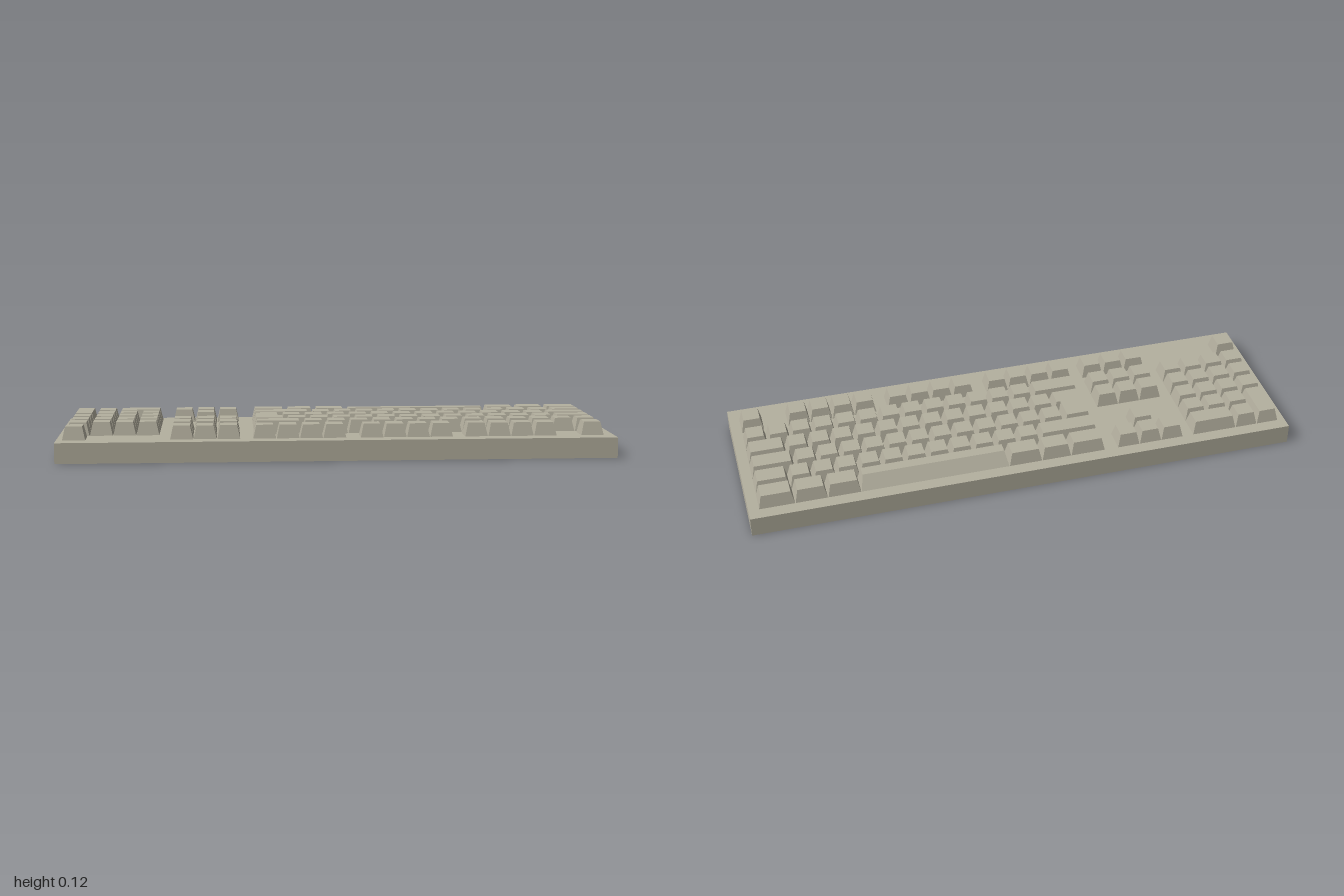
import * as THREE from 'three';

const U = 0.0835;       // key pitch
const GAP = 0.001;      // half gap between keys
const INSET = 0.0107;   // slope of the key sides
const DECK = 0.074, KEY_TOP = 0.122;

// Near edge of each key row along z, from the spacebar row to the function row
const Z = { space: -0.27, shift: -0.187, home: -0.104, tab: -0.02, number: 0.064, fn: 0.171 };

const beige = new THREE.MeshStandardMaterial({ color: 0xb4b09f });
beige.name = 'beige plastic';

// Keycap: the outline is extruded, then its upper corners move to the smaller top outline
function keycap(bottom, top, name) {
  const shape = new THREE.Shape(bottom.map(([x, z]) => new THREE.Vector2(x, -z)));
  const geo = new THREE.ExtrudeGeometry(shape, { depth: KEY_TOP - DECK, bevelEnabled: false });
  const pos = geo.attributes.position;
  for (let i = 0; i < pos.count; i++) {
    if (pos.getZ(i) < 0.001) continue;
    const k = bottom.findIndex(([x, z]) => Math.hypot(x - pos.getX(i), -z - pos.getY(i)) < 1e-4);
    pos.setXY(i, top[k][0], -top[k][1]);
  }
  geo.rotateX(-Math.PI / 2);
  geo.translate(0, DECK, 0);
  geo.computeVertexNormals();
  const mesh = new THREE.Mesh(geo, beige);
  mesh.name = name;
  return mesh;
}

const rect = (x0, z0, x1, z1) => [[x0, z1], [x1, z1], [x1, z0], [x0, z0]];

function boxKey(x, z, w, d, name, backInset = INSET) {
  const x0 = x + GAP, x1 = x + w - GAP, z0 = z + GAP / 2, z1 = z + d - GAP / 2;
  return keycap(rect(x0, z0, x1, z1),
    rect(x0 + INSET, z0 + backInset, x1 - INSET, z1 - INSET), name);
}

// Run of keys from x towards +x
function addRow(group, x, z, widths, name = 'key') {
  for (const w of widths) {
    group.add(boxKey(x, z, w, U, name));
    x += w;
  }
}

const units = (n) => Array(n).fill(U);

function section(parent, name) {
  const g = new THREE.Group();
  g.name = name;
  parent.add(g);
  return g;
}

export function createModel() {
  const model = new THREE.Group();
  model.name = 'keyboard';

  const base = new THREE.Mesh(new THREE.BoxGeometry(2, DECK, 0.63), beige);
  base.name = 'base';
  base.position.y = DECK / 2;
  model.add(base);

  // Main typing block
  const main = section(model, 'mainKeys');
  const L = -0.299, R = 0.963;
  addRow(main, L, Z.number, [R - L - 13 * U, ...units(13)]);
  const tabX = -0.18, homeX = -0.196, shiftX = -0.08;
  addRow(main, tabX, Z.tab, [...units(12), R - tabX - 12 * U]);
  addRow(main, homeX, Z.home, [...units(12), R - homeX - 12 * U]);
  addRow(main, L, Z.shift, [shiftX - L, ...units(11), R - shiftX - 11 * U]);

  // Spacebar row, with a wide sloping rear face on the spacebar
  const s0 = 0.06, s1 = 0.6;
  addRow(main, L, Z.space, [0.128, 0.109, s0 - L - 0.237]);
  main.add(boxKey(s0, Z.space, s1 - s0, U, 'spacebar', 0.034));
  addRow(main, s1, Z.space, [0.119, 0.116, R - s1 - 0.235]);

  // L-shaped enter key over two rows
  const i = INSET, x0 = L + GAP, xn = homeX - GAP, x1 = tabX - GAP;
  const z0 = Z.home + GAP / 2, zm = Z.tab + GAP / 2, z1 = Z.number - GAP / 2;
  main.add(keycap(
    [[x0, z1], [x1, z1], [x1, zm], [xn, zm], [xn, z0], [x0, z0]],
    [[x0 + i, z1 - i], [x1 - i, z1 - i], [x1 - i, zm + i], [xn - i, zm + i], [xn - i, z0 + i], [x0 + i, z0 + i]],
    'enterKey'));

  // Function row: three groups of four and the lone escape key
  const fn = section(model, 'functionKeys');
  for (const x of [-0.304, 0.08, 0.457]) addRow(fn, x, Z.fn, units(4), 'functionKey');
  addRow(fn, R - U, Z.fn, [U], 'escapeKey');

  // Navigation block and arrows
  const nav = section(model, 'navigationKeys');
  const navX = -0.599;
  for (const z of [Z.fn, Z.number, Z.tab]) addRow(nav, navX, z, units(3), 'navigationKey');
  addRow(nav, navX, Z.space, units(3), 'arrowKey');
  addRow(nav, navX + U, Z.shift, [U], 'arrowKey');

  // Number pad
  const pad = section(model, 'numberPad');
  const padX = -0.973;
  for (const z of [Z.number, Z.tab, Z.home]) addRow(pad, padX, z, units(4), 'padKey');
  addRow(pad, padX + U, Z.shift, units(3), 'padKey');
  addRow(pad, padX + U, Z.space, [U, 2 * U], 'padKey');
  pad.add(boxKey(padX, Z.space, U, 2 * U, 'padEnterKey'));
  addRow(pad, padX - 0.006, Z.fn, [U], 'powerKey');

  return model;
}
